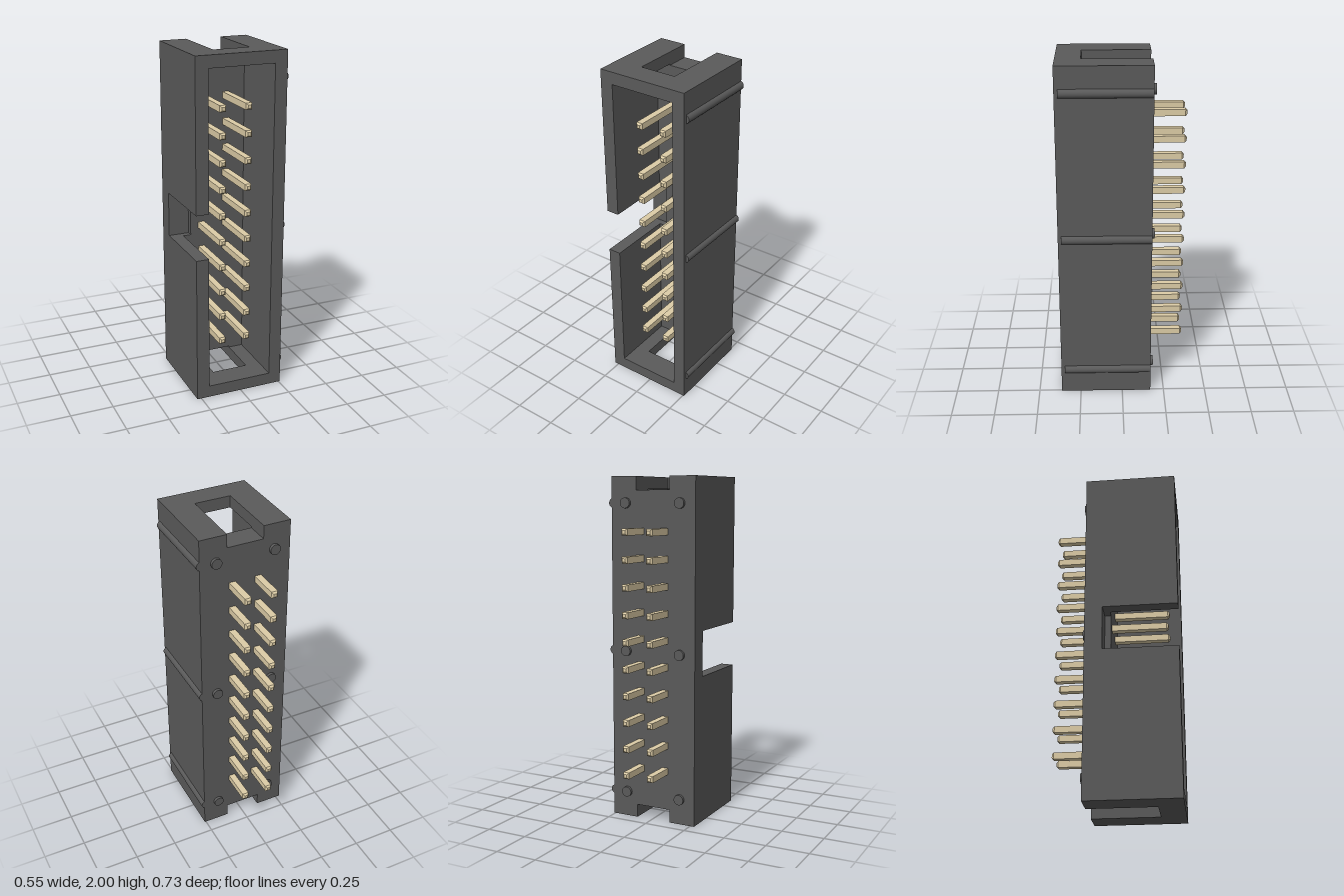
import * as THREE from 'three';

// Main dimensions
const X0 = -0.275, X1 = 0.258;           // housing sides
const CX0 = -0.2, CX1 = 0.185;           // cavity sides
const WX0 = -0.115, WX1 = 0.098;         // end windows and slots
const WALL = 0.07, SLOT = 0.077;         // end wall thickness, slot depth
const N0 = 0.868, N1 = 1.132, NX = -0.153; // key notch
const BACK = -0.17, NOTCH = -0.067, FLOOR = -0.03, WINDOW = 0.222, FRONT = 0.365;

export function createModel() {
  const root = new THREE.Group();
  root.name = 'pinHeader';
  const plastic = new THREE.MeshStandardMaterial({ color: 0x5a5a5a });
  const metal = new THREE.MeshStandardMaterial({ color: 0xdccca6 });

  const add = (parent, name, geometry, material, x = 0, y = 0, z = 0) => {
    const mesh = new THREE.Mesh(geometry, material);
    mesh.name = name;
    mesh.position.set(x, y, z);
    parent.add(mesh);
    return mesh;
  };

  // Housing: outlines extruded from z0 to z1
  const housing = new THREE.Group();
  housing.name = 'housing';
  root.add(housing);
  const layer = (name, points, z0, z1) => {
    const shape = new THREE.Shape(points.map(([x, y]) => new THREE.Vector2(x, y)));
    const geometry = new THREE.ExtrudeGeometry(shape, { depth: z1 - z0, bevelEnabled: false });
    add(housing, name, geometry, plastic, 0, 0, z0);
  };
  const flipY = (points) => points.map(([x, y]) => [x, 2 - y]);

  // Floor with a slot at each end; its front part is also cut by the key notch
  const floorOutline = [
    [X0, 0], [WX0, 0], [WX0, SLOT], [WX1, SLOT], [WX1, 0], [X1, 0],
    [X1, 2], [WX1, 2], [WX1, 2 - SLOT], [WX0, 2 - SLOT], [WX0, 2], [X0, 2],
  ];
  const notch = [[X0, N1], [NX, N1], [NX, N0], [X0, N0]];
  layer('floorBack', floorOutline, BACK, NOTCH);
  layer('floorFront', [...floorOutline, ...notch], NOTCH, FLOOR);

  // Walls beside the end windows
  const upperLeft = [
    [WX0, 2], [X0, 2], [X0, N1], [CX0, N1], [CX0, 2 - WALL], [WX0, 2 - WALL],
  ];
  layer('plainSideWall', [
    [WX1, 0], [X1, 0], [X1, 2], [WX1, 2],
    [WX1, 2 - WALL], [CX1, 2 - WALL], [CX1, WALL], [WX1, WALL],
  ], FLOOR, WINDOW);
  layer('notchedWallUpper', upperLeft, FLOOR, WINDOW);
  layer('notchedWallLower', flipY(upperLeft), FLOOR, WINDOW);

  // Front rim, open at the notch
  layer('frontRim', [
    [X0, 0], [X1, 0], [X1, 2], [X0, 2], [X0, N1], [CX0, N1], [CX0, 2 - WALL],
    [CX1, 2 - WALL], [CX1, WALL], [CX0, WALL], [CX0, N0], [X0, N0],
  ], WINDOW, FRONT);

  // Side ribs and rear standoff nubs
  const ribGeometry = new THREE.CylinderGeometry(0.027, 0.027, 0.515, 32).rotateX(Math.PI / 2);
  const nubGeometry = new THREE.CylinderGeometry(0.03, 0.03, 0.027, 32).rotateX(Math.PI / 2);
  for (const y of [0.15, 1, 1.85]) {
    add(housing, 'sideRib', ribGeometry, plastic, 0.248, y, 0.0875);
    for (const x of [-0.181, 0.164]) add(housing, 'standoffNub', nubGeometry, plastic, x, y, -0.1735);
  }

  // Square pins with tapered tips, two columns of ten
  const W = 0.038, TIP = 0.011, PIN0 = -0.365, PIN1 = 0.3;
  const shaft = new THREE.BoxGeometry(W, W, PIN1 - PIN0 - 2 * TIP);
  const tip = new THREE.CylinderGeometry(W * 0.25 * Math.SQRT2, W * 0.5 * Math.SQRT2, TIP, 4)
    .toNonIndexed().rotateY(Math.PI / 4).rotateX(Math.PI / 2);
  tip.computeVertexNormals();
  for (const x of [-0.086, 0.068]) {
    for (let i = 0; i < 10; i++) {
      const pin = new THREE.Group();
      pin.name = 'pin';
      pin.position.set(x, 1 + (i - 4.5) * 0.1538, 0);
      add(pin, 'pinShaft', shaft, metal, 0, 0, (PIN0 + PIN1) / 2);
      add(pin, 'pinFrontTip', tip, metal, 0, 0, PIN1 - TIP / 2);
      add(pin, 'pinRearTip', tip, metal, 0, 0, PIN0 + TIP / 2).rotation.y = Math.PI;
      root.add(pin);
    }
  }
  return root;
}
